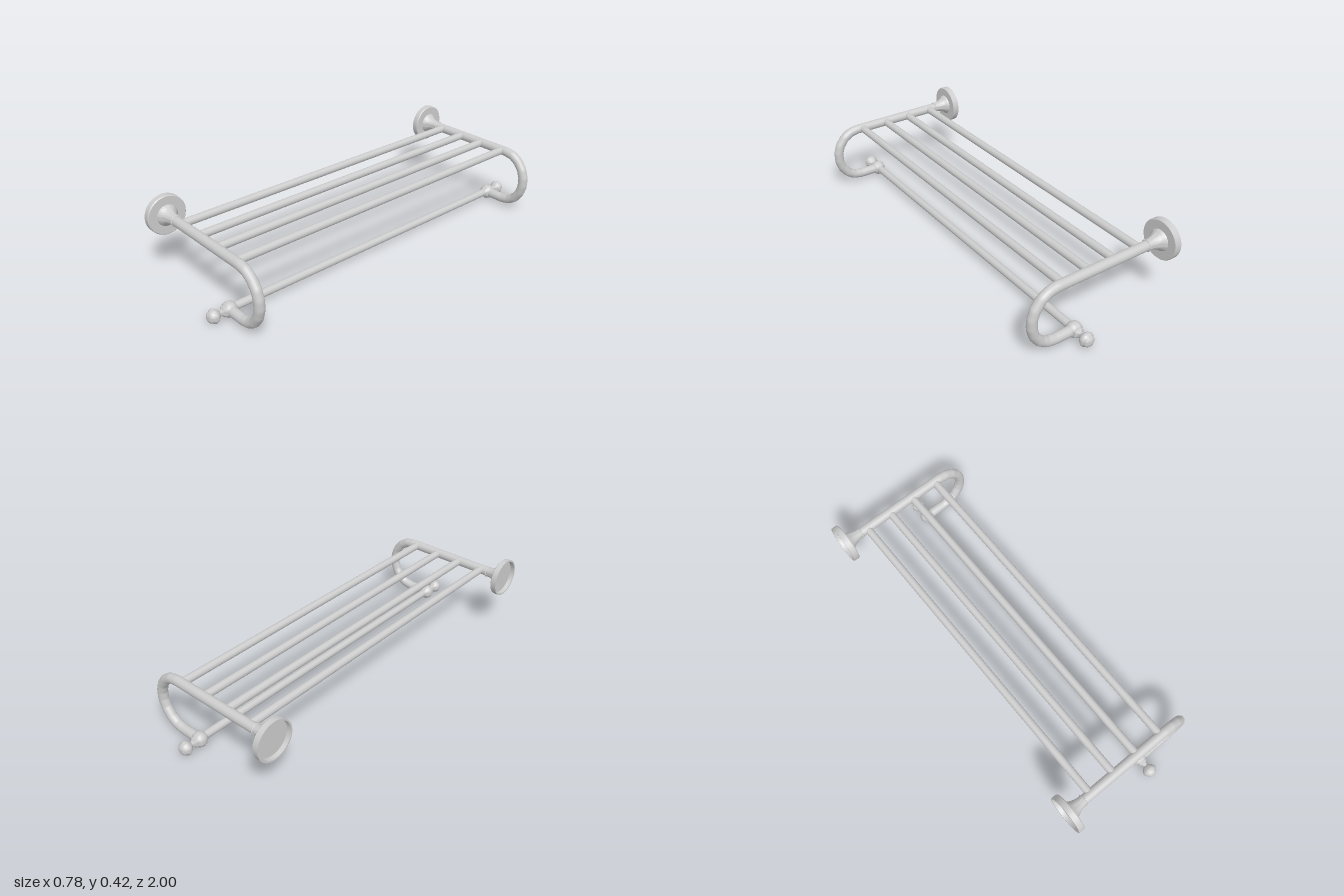
import * as THREE from 'three';
import { toCreasedNormals } from 'three/addons/utils/BufferGeometryUtils.js';

const metal = new THREE.MeshStandardMaterial({ color: 0xcccccc });
const ARM_Z = 0.885, TOP_Y = 0.324, LOW_Y = 0.041, LOW_X = 0.122;

function part(parent, name, geometry, x = 0, y = 0, z = 0) {
  const mesh = new THREE.Mesh(geometry, metal);
  mesh.name = name;
  mesh.position.set(x, y, z);
  parent.add(mesh);
  return mesh;
}

// Turned part: profile is a list of [radius, height], bottom to top
function turned(profile, sides = 40) {
  const points = profile.map(([r, h]) => new THREE.Vector2(r, h));
  return toCreasedNormals(new THREE.LatheGeometry(points, sides), 0.6);
}

// Hooked arm: straight top, half-round front, short return to the lower bar
function armGeometry() {
  const path = new THREE.CurvePath();
  const v = (x, y) => new THREE.Vector3(x, y, 0);
  const cx = 0.236, cy = (TOP_Y + LOW_Y) / 2, rx = 0.127, ry = (TOP_Y - LOW_Y) / 2;
  const pts = [v(-0.29, TOP_Y)];
  const steps = 9;
  for (let i = 0; i <= steps; i++) {
    const a = Math.PI / 2 - (i / steps) * Math.PI;
    pts.push(v(cx + rx * Math.cos(a), cy + ry * Math.sin(a)));
  }
  pts.push(v(LOW_X, LOW_Y));
  for (let i = 1; i < pts.length; i++) path.add(new THREE.LineCurve3(pts[i - 1], pts[i]));
  return new THREE.TubeGeometry(path, 72, 0.025, 20, false);
}

export function createModel() {
  const model = new THREE.Group();
  model.name = 'towelShelf';

  const arm = armGeometry();
  // Wall flange with hollow back and flared neck
  const flange = turned([
    [0, 0.022], [0.09, 0.022], [0.092, 0], [0.1, 0], [0.1, 0.029], [0.096, 0.033],
    [0.054, 0.033], [0.053, 0.036], [0.044, 0.046], [0.037, 0.058], [0.031, 0.074],
    [0.027, 0.092], [0.025, 0.112],
  ], 48);
  const collar = new THREE.TorusGeometry(0.025, 0.0045, 10, 32);
  // Joint ball, neck and end knob of the lower bar
  const finial = turned([
    [0, -0.037], [0.021, -0.034], [0.026, -0.026], [0.035, -0.017], [0.039, 0],
    [0.035, 0.017], [0.026, 0.026], [0.026, 0.033], [0.02, 0.037], [0.014, 0.043],
    [0.014, 0.053], [0.021, 0.059], [0.031, 0.07], [0.036, 0.081], [0.035, 0.089],
    [0.028, 0.097], [0.027, 0.103], [0.021, 0.109], [0.011, 0.114], [0, 0.115],
  ], 32);

  for (const [side, label] of [[1, 'front'], [-1, 'back']]) {
    const bracket = new THREE.Group();
    bracket.name = label + 'Bracket';
    bracket.position.z = side * ARM_Z;
    model.add(bracket);
    part(bracket, 'arm', arm);
    part(bracket, 'wallFlange', flange, -0.39, TOP_Y, 0).rotation.z = -Math.PI / 2;
    part(bracket, 'collar', collar, -0.278, TOP_Y, 0).rotation.y = Math.PI / 2;
    part(bracket, 'finial', finial, LOW_X, LOW_Y, 0).rotation.x = side * Math.PI / 2;
  }

  // Shelf rails and the lower towel bar
  const bar = new THREE.CylinderGeometry(0.02, 0.02, 2 * ARM_Z, 24);
  bar.rotateX(Math.PI / 2);
  for (const x of [-0.236, -0.09, 0.054, 0.203]) part(model, 'shelfRail', bar, x, TOP_Y + 0.001, 0);
  part(model, 'towelBar', bar, LOW_X, LOW_Y + 0.003, 0);

  return model;
}
